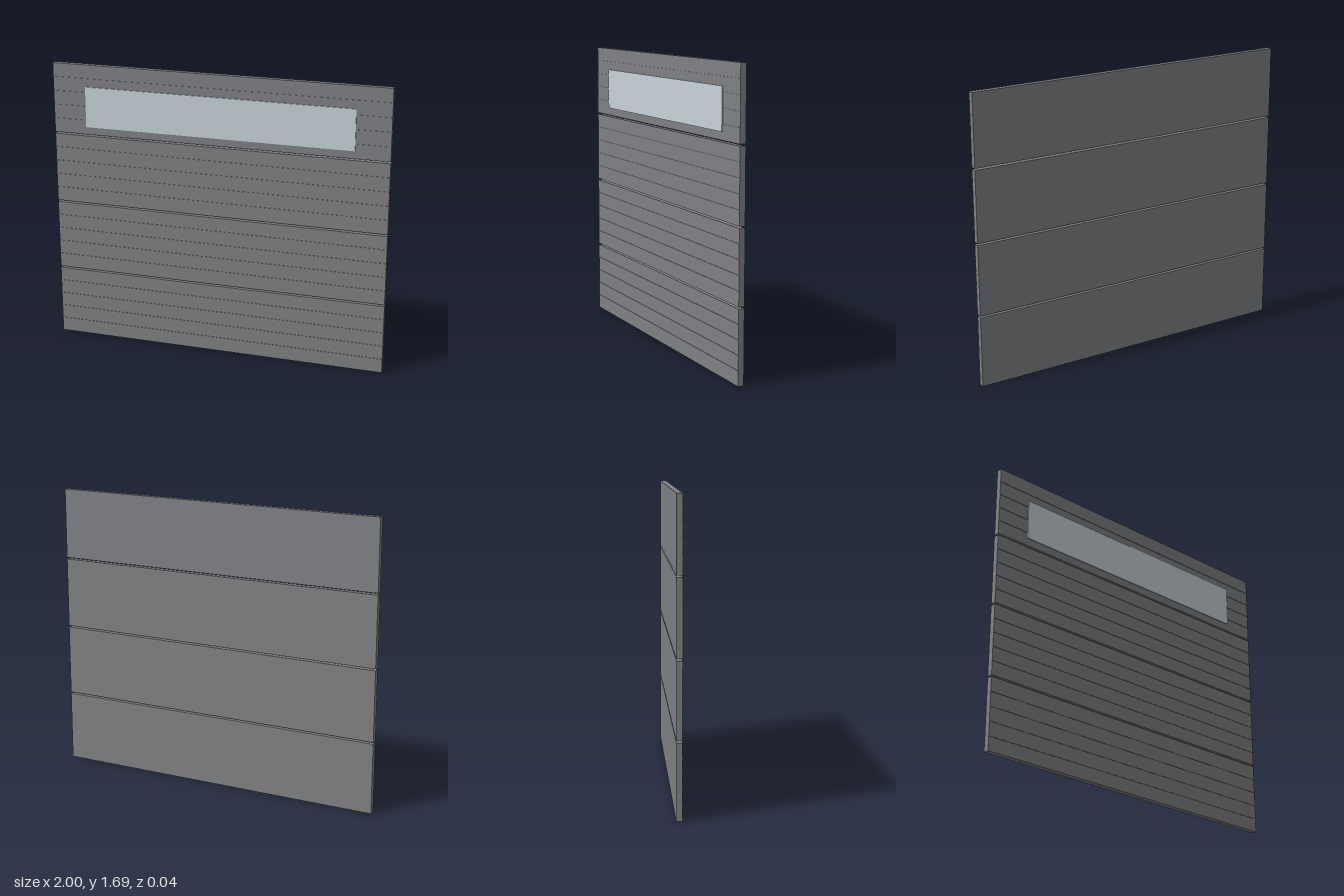
import * as THREE from 'three';

export function createModel() {
  const door = new THREE.Group();
  door.name = 'sectionalDoor';

  const panelMat = new THREE.MeshStandardMaterial({ color: 0x808184 });
  const glassMat = new THREE.MeshStandardMaterial({ color: 0xc8d3da });

  const width = 2, panelH = 0.415, gap = 0.01;
  const back = -0.019, front = 0.014;

  // Box spanning the given height and depth ranges, centred on x
  function slab(name, w, y0, y1, z0, z1, material) {
    const mesh = new THREE.Mesh(new THREE.BoxGeometry(w, y1 - y0, z1 - z0), material);
    mesh.name = name;
    mesh.position.set(0, (y0 + y1) / 2, (z0 + z1) / 2);
    return mesh;
  }

  // Four stacked sections, each with four thin horizontal ribs
  for (let i = 0; i < 4; i++) {
    const y = i * (panelH + gap);
    const section = new THREE.Group();
    section.name = `section${i + 1}`;
    section.add(slab('panel', width, y, y + panelH, back, front, panelMat));
    for (let r = 1; r <= 4; r++) {
      const ry = y + (r * panelH) / 5;
      section.add(slab('rib', width, ry - 0.003, ry + 0.003, front - 0.003, front + 0.003, panelMat));
    }
    door.add(section);
  }

  // Long window on the top section
  door.add(slab('window', 1.6, 1.32, 1.56, 0.01, 0.02, glassMat));

  return door;
}
